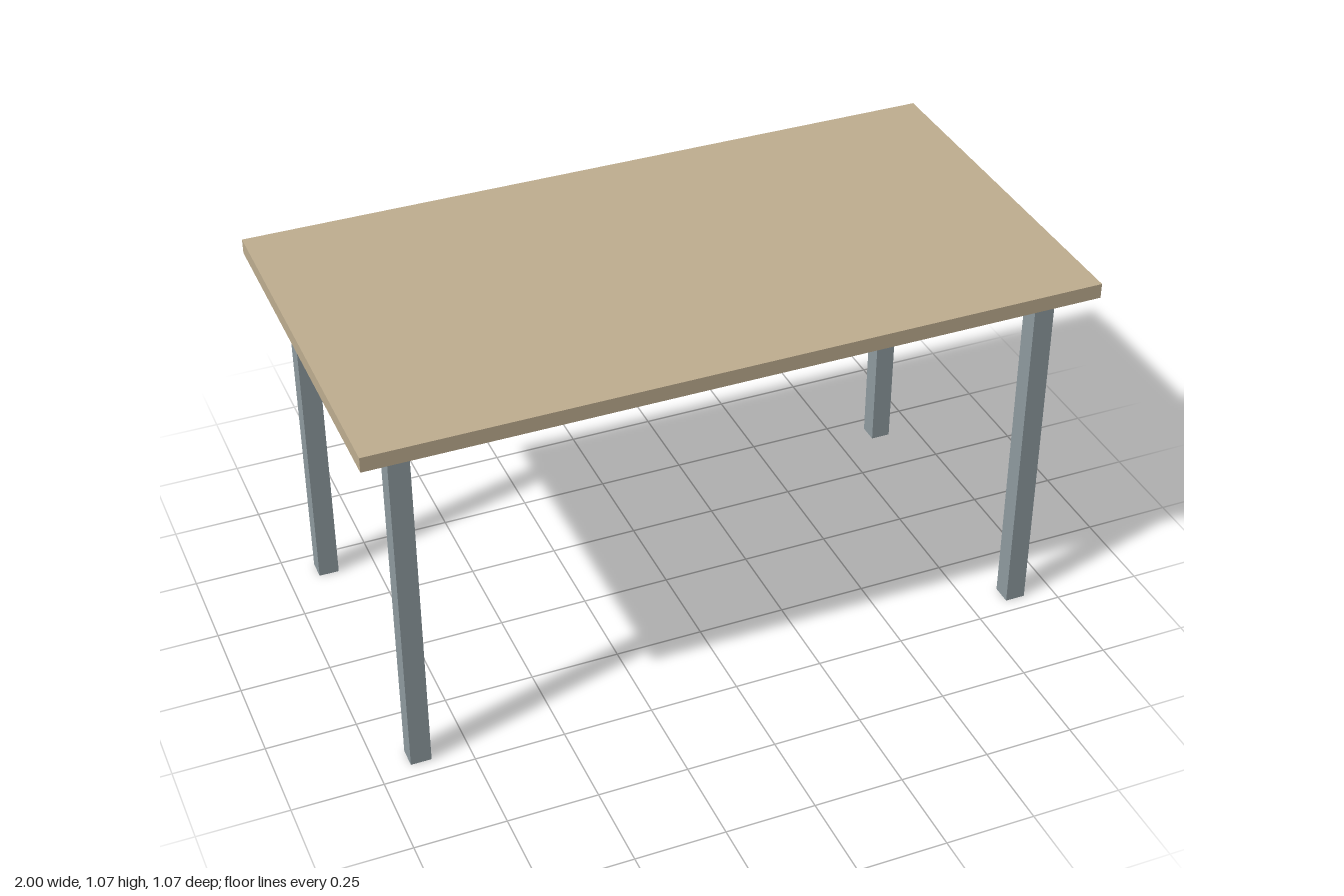
import * as THREE from 'three';

const HEIGHT = 1.071, DEPTH = 1.07, TOP_THICKNESS = 0.042, LEG_WIDTH = 0.057;
const LEG_X = 0.885, LEG_Z = 0.428;

export function createModel() {
  const table = new THREE.Group();
  table.name = 'table';
  const wood = new THREE.MeshStandardMaterial({ color: 0xbfae90 });
  const metal = new THREE.MeshStandardMaterial({ color: 0x8f9ba0 });

  // Flat rectangular table top
  const top = new THREE.Mesh(new THREE.BoxGeometry(2, TOP_THICKNESS, DEPTH), wood);
  top.name = 'tableTop';
  top.position.y = HEIGHT - TOP_THICKNESS / 2;
  table.add(top);

  // Four square legs, inset from the corners
  const legHeight = HEIGHT - TOP_THICKNESS;
  const legGeometry = new THREE.BoxGeometry(LEG_WIDTH, legHeight, LEG_WIDTH);
  for (const [end, sz] of [['front', 1], ['back', -1]]) {
    for (const [side, sx] of [['Left', 1], ['Right', -1]]) {
      const leg = new THREE.Mesh(legGeometry, metal);
      leg.name = `${end}${side}Leg`;
      leg.position.set(sx * LEG_X, legHeight / 2, sz * LEG_Z);
      table.add(leg);
    }
  }
  return table;
}
